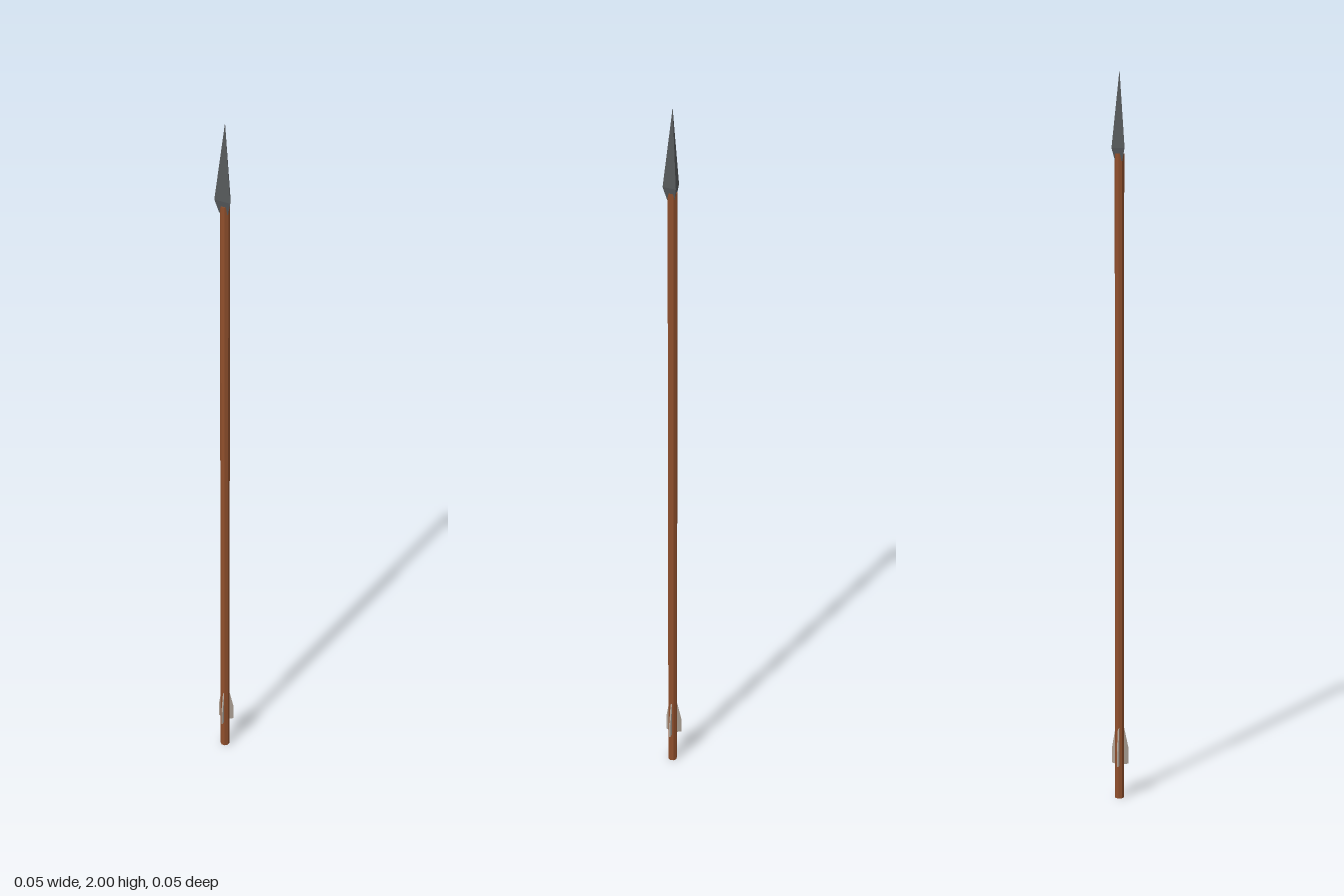
import * as THREE from 'three';
import { ConvexGeometry } from 'three/addons/geometries/ConvexGeometry.js';

const paint = (color) => new THREE.MeshStandardMaterial({ color, flatShading: true });

export function createModel() {
  const arrow = new THREE.Group();
  arrow.name = 'arrow';
  const add = (name, geometry, material) => {
    const mesh = new THREE.Mesh(geometry, material);
    mesh.name = name;
    arrow.add(mesh);
    return mesh;
  };

  // Wooden shaft, eight sided
  const shaftLength = 1.78, shaftRadius = 0.013;
  add('shaft', new THREE.CylinderGeometry(shaftRadius, shaftRadius, shaftLength, 8), paint(0x8f4f2c))
    .position.y = shaftLength / 2;

  // Three-sided metal head, tapering back onto the shaft
  const corners = [[0.025, 0.004], [-0.02, 0.018], [-0.004, -0.021]];
  const headPoints = [new THREE.Vector3(0, 2, 0)];
  for (const [x, z] of corners) {
    headPoints.push(new THREE.Vector3(x, 1.795, z));
    headPoints.push(new THREE.Vector3(x * 0.55, 1.76, z * 0.55));
  }
  add('arrowhead', new ConvexGeometry(headPoints), paint(0x55585a));

  // Three thin vanes set evenly around the tail
  const outline = new THREE.Shape([
    new THREE.Vector2(0.005, 0.095),
    new THREE.Vector2(0.026, 0.095),
    new THREE.Vector2(0.026, 0.14),
    new THREE.Vector2(0.012, 0.205),
    new THREE.Vector2(0.005, 0.205),
  ]);
  const thickness = 0.004;
  const vane = new THREE.ExtrudeGeometry(outline, { depth: thickness, bevelEnabled: false });
  vane.translate(0, 0, -thickness / 2);
  const feather = paint(0xb0a498);
  for (let i = 0; i < 3; i++) {
    add('vane' + (i + 1), vane, feather).rotation.y = Math.PI + (i * Math.PI * 2) / 3;
  }

  return arrow;
}
